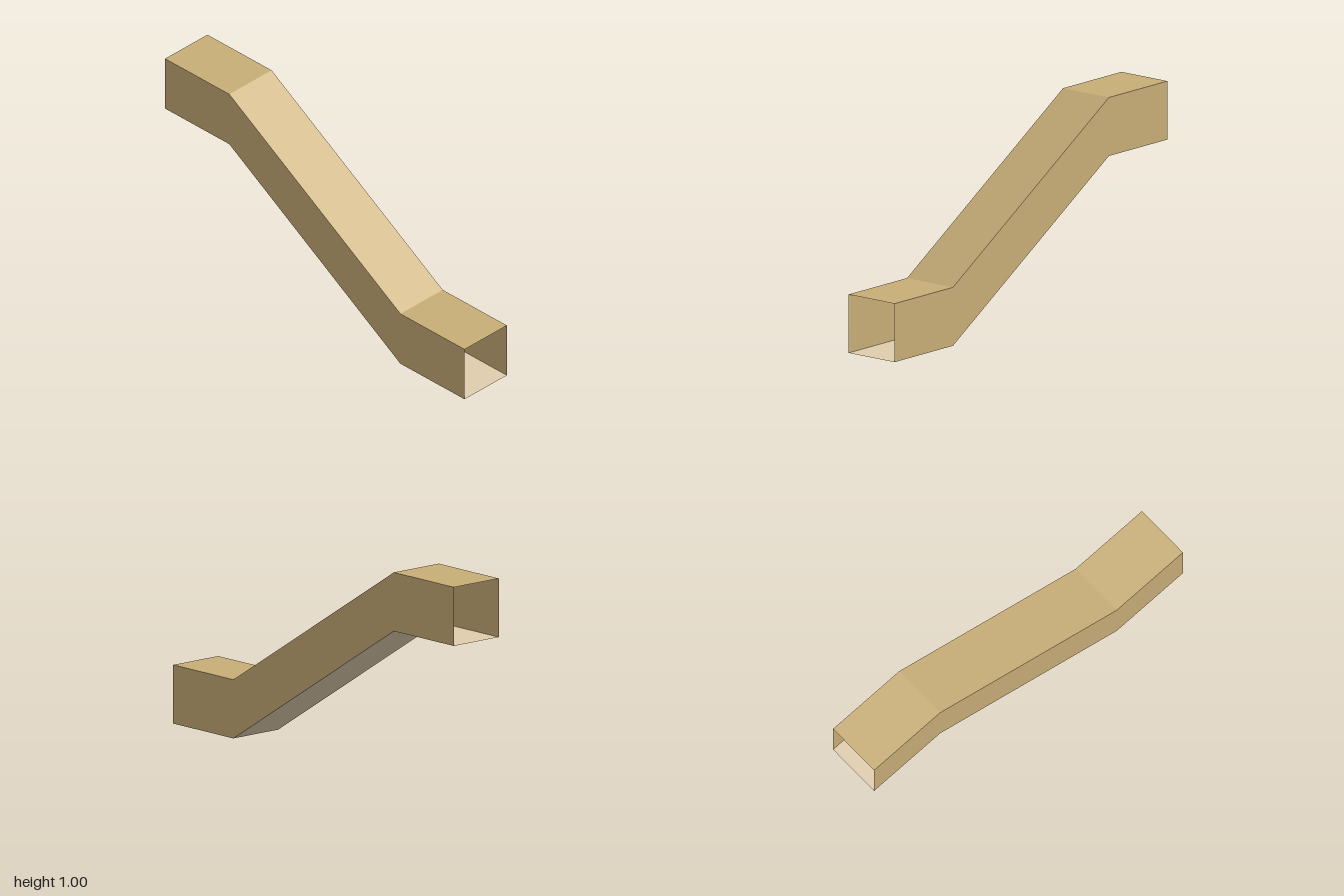
import * as THREE from 'three';

const W = 1 / 7; // half the width of the square duct
const H = 2 / 7; // duct height

// Stations along the duct from the low front mouth to the high back mouth: [z, floor height]
const PATH = [[1, 0], [4 / 7, 0], [-4 / 7, 1 - H], [-1, 1 - H]];

// Corners of the cross-section: [x, height above floor]
const BOTTOM_RIGHT = [-W, 0], BOTTOM_LEFT = [W, 0], TOP_LEFT = [W, H], TOP_RIGHT = [-W, H];

// One folded wall, swept along the path between two neighbouring corners
function wallGeometry(a, b) {
  const positions = [];
  const at = ([x, h], [z, y]) => [x, y + h, z];
  for (let i = 0; i < PATH.length - 1; i++) {
    const a0 = at(a, PATH[i]), b0 = at(b, PATH[i]);
    const a1 = at(a, PATH[i + 1]), b1 = at(b, PATH[i + 1]);
    positions.push(...a0, ...a1, ...b0, ...b0, ...a1, ...b1);
  }
  const geometry = new THREE.BufferGeometry();
  geometry.setAttribute('position', new THREE.Float32BufferAttribute(positions, 3));
  geometry.computeVertexNormals(); // unshared corners keep the folds sharp
  return geometry;
}

export function createModel() {
  const tan = new THREE.MeshStandardMaterial({ color: 0xc8ae78, side: THREE.DoubleSide });
  tan.name = 'tan';
  const paleSand = new THREE.MeshStandardMaterial({ color: 0xdfcdad, side: THREE.DoubleSide });
  paleSand.name = 'paleSand';

  const duct = new THREE.Group();
  duct.name = 'slopedDuct';

  // Four thin walls; both ends stay open
  const walls = [
    ['floor', BOTTOM_RIGHT, BOTTOM_LEFT, paleSand],
    ['leftWall', BOTTOM_LEFT, TOP_LEFT, tan],
    ['roof', TOP_LEFT, TOP_RIGHT, tan],
    ['rightWall', TOP_RIGHT, BOTTOM_RIGHT, tan],
  ];
  for (const [name, a, b, material] of walls) {
    const wall = new THREE.Mesh(wallGeometry(a, b), material);
    wall.name = name;
    duct.add(wall);
  }
  return duct;
}
